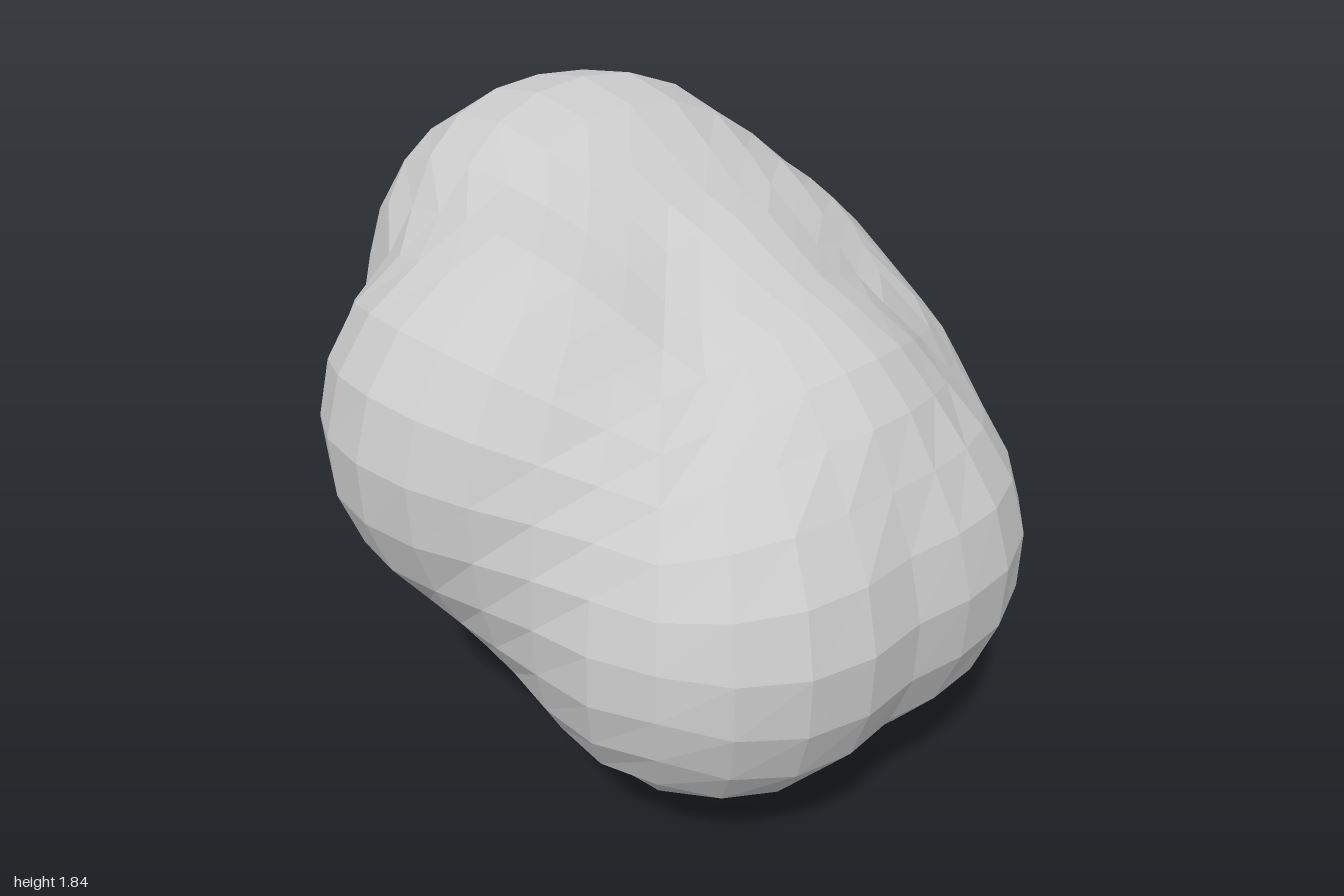
import * as THREE from 'three';

// Centres of equal, overlapping lobes that blend into one lump
const RADIUS = 0.553;
const BLEND = 0.022;
const LOBES = [
  // upper back
  [0.19, 1.27, -0.44], [0.04, 1.27, -0.44],
  // right bulge and its bridge to the upper back
  [-0.36, 1.09, -0.09], [-0.10, 1.17, -0.26],
  // left bulge and its bridge to the upper back
  [0.36, 1.04, -0.12], [0.29, 1.15, -0.29],
  // saddle on top and hollow of the back
  [0.08, 1.08, -0.01], [0.16, 0.93, -0.31],
  // left flank
  [0.34, 0.73, -0.14], [0.35, 0.88, 0.14], [0.36, 0.62, 0.04], [0.33, 0.70, 0.30],
  // foot
  [0.22, 0.56, 0.20], [0.36, 0.56, 0.20],
  // front
  [-0.19, 0.74, 0.44], [0.19, 0.74, 0.45], [0.05, 0.94, 0.33],
  // bridge from front to right bulge, and belly
  [-0.24, 0.91, 0.15], [0.00, 0.80, 0.08],
];
const CORE = new THREE.Vector3(0.05, 0.9, 0.0);

// Smoothly blended distance to the lobes, negative inside
function distance(p) {
  let sum = 0;
  for (const [x, y, z] of LOBES) {
    const d = Math.hypot(p.x - x, p.y - y, p.z - z) - RADIUS;
    sum += Math.exp(-d / BLEND);
  }
  return -BLEND * Math.log(sum);
}

// Walk inwards along a direction to the skin, then refine
function skinPoint(dir) {
  const p = new THREE.Vector3();
  const at = (t) => distance(p.copy(CORE).addScaledVector(dir, t));
  let t = 1.7;
  while (t > 0.1 && at(t) > 0) t -= 0.02;
  let lo = t, hi = t + 0.02;
  for (let i = 0; i < 12; i++) {
    const mid = (lo + hi) / 2;
    if (at(mid) > 0) hi = mid; else lo = mid;
  }
  at(lo);
  return p;
}

export function createModel() {
  const group = new THREE.Group();
  group.name = 'boulder';

  // Cube grid spread evenly over a sphere, then pushed onto the skin
  const geo = new THREE.BoxGeometry(2, 2, 2, 9, 9, 9);
  const pos = geo.attributes.position;
  const dir = new THREE.Vector3();
  const even = (v) => Math.tan((v * Math.PI) / 4);
  for (let i = 0; i < pos.count; i++) {
    dir.set(even(pos.getX(i)), even(pos.getY(i)), even(pos.getZ(i))).normalize();
    const p = skinPoint(dir);
    pos.setXYZ(i, p.x, p.y, p.z);
  }
  geo.computeVertexNormals();

  const rock = new THREE.Mesh(
    geo,
    new THREE.MeshStandardMaterial({ color: 0xcccccc, flatShading: true })
  );
  rock.name = 'rock';
  group.add(rock);
  return group;
}
